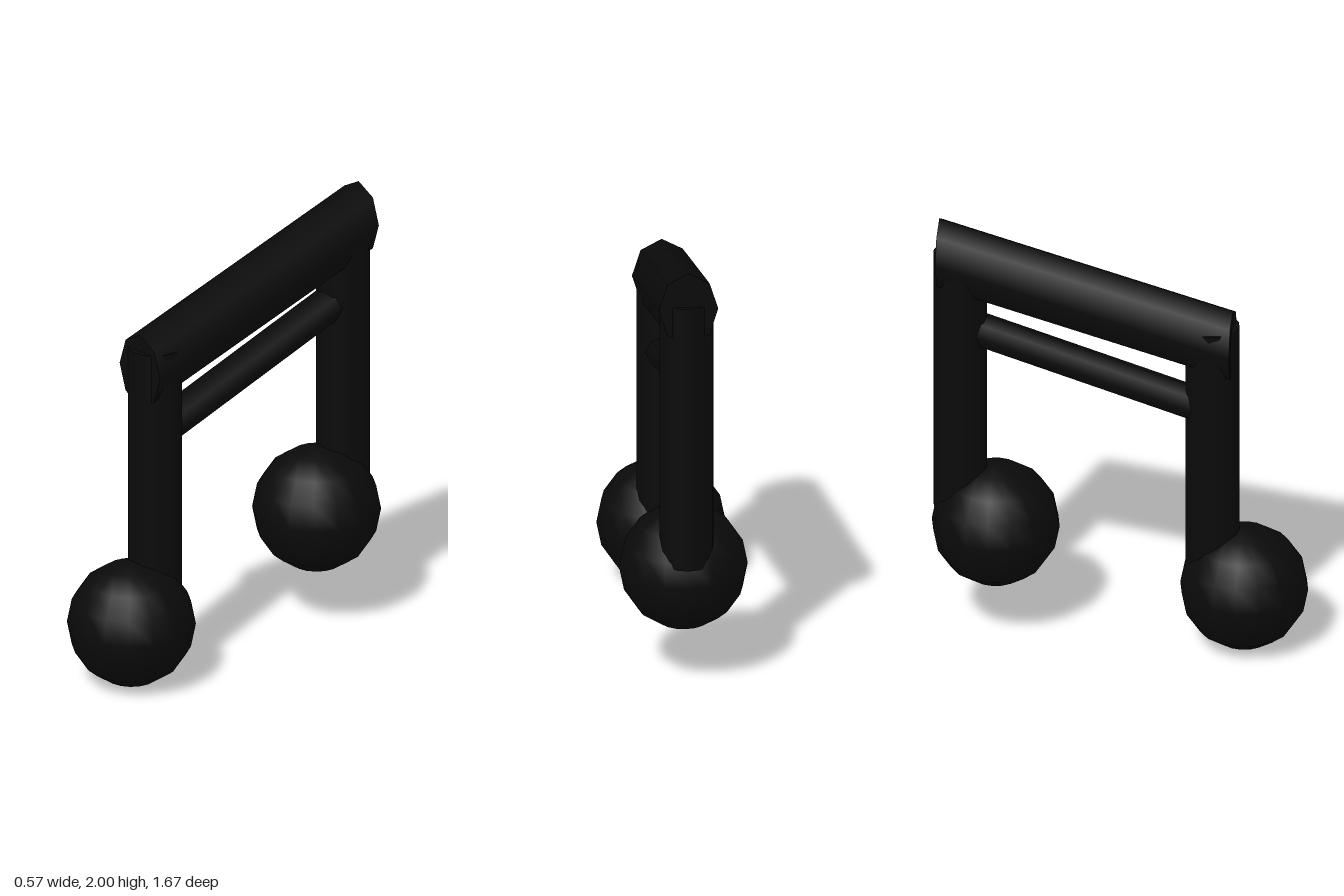
import * as THREE from 'three';

const black = new THREE.MeshStandardMaterial({ color: 0x0a0a0a });

// Eight-sided oval bar along z, sheared so it climbs toward the back with upright ends
function slopedBar(halfWidth, halfHeight, length, slope) {
  const g = new THREE.CylinderGeometry(1, 1, length, 8);
  g.rotateX(Math.PI / 2);
  g.scale(halfWidth, halfHeight, 1);
  return g.applyMatrix4(new THREE.Matrix4().makeShear(0, 0, 0, 0, 0, -slope));
}

export function createModel() {
  const group = new THREE.Group();
  const add = (name, geometry, y, z) => {
    const mesh = new THREE.Mesh(geometry, black);
    mesh.name = name;
    mesh.position.set(0, y, z);
    group.add(mesh);
  };

  // Round heads and upright stems of the two notes
  const notes = [
    { side: 'front', headY: 0.285, headZ: 0.55, stemZ: 0.41, bottom: 0.36, top: 1.56 },
    { side: 'back', headY: 0.52, headZ: -0.55, stemZ: -0.707, bottom: 0.6, top: 1.84 },
  ];
  for (const n of notes) {
    add(n.side + 'NoteHead', new THREE.SphereGeometry(0.283, 16, 8), n.headY, n.headZ);
    const height = n.top - n.bottom;
    add(n.side + 'Stem', new THREE.CylinderGeometry(0.119, 0.119, height, 16), n.bottom + height / 2, n.stemZ);
  }

  // Thick upper beam and thin lower beam joining the stems
  add('upperBeam', slopedBar(0.131, 0.17, 1.3, 0.28), 1.648, -0.15);
  add('lowerBeam', slopedBar(0.087, 0.077, 1.1, 0.3125), 1.32, -0.15);

  return group;
}
